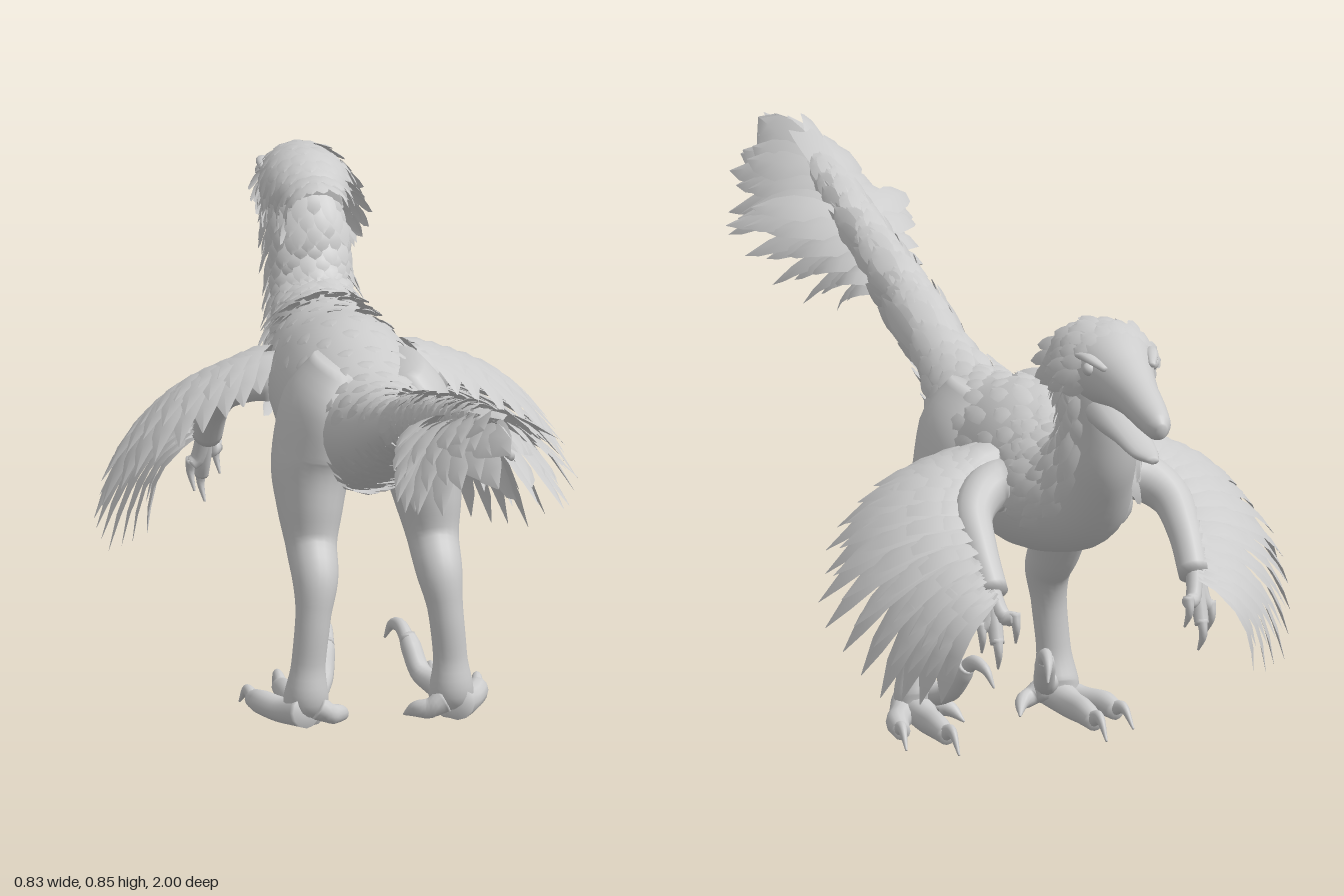
import * as THREE from 'three';
import { mergeGeometries } from 'three/addons/utils/BufferGeometryUtils.js';

const V = (x, y, z) => new THREE.Vector3(x, y, z);
const plumageGrey = new THREE.MeshStandardMaterial({ color: 0xcccccc, side: THREE.DoubleSide });
plumageGrey.name = 'plumageGrey';

// Repeatable variation for feather lengths, 0 to 1
const vary = k => Math.abs(Math.sin(k * 12.9898) * 43758.5453) % 1;

// A limb or body is a list of stations [x, y, z, halfWidth, halfDepth]
function makeSpine(stations, s = 1) {
  const path = new THREE.CatmullRomCurve3(stations.map(p => V(p[0] * s, p[1], p[2])));
  const radii = new THREE.CatmullRomCurve3(stations.map(p => V(p[3], p[4], 0)));
  return u => {
    const t = path.getTangent(u), r = radii.getPoint(u);
    const side = V(1, 0, 0).addScaledVector(t, -t.x).normalize();
    const up = side.clone().cross(t);
    const p = path.getPoint(u);
    return {
      t, p,
      at: (a, k = 1) => p.clone().addScaledVector(side, r.x * k * Math.sin(a)).addScaledVector(up, r.y * k * Math.cos(a)),
      out: a => side.clone().multiplyScalar(Math.sin(a)).addScaledVector(up, Math.cos(a)),
    };
  };
}

// Closed smooth skin around a spine
function loft(spine, rings = 40, sides = 20) {
  const pos = [], idx = [];
  for (let i = 0; i <= rings + 2; i++) {
    const f = spine(THREE.MathUtils.clamp((i - 1) / rings, 0, 1));
    const k = i === 0 || i === rings + 2 ? 0.02 : 1;
    for (let j = 0; j < sides; j++) pos.push(...f.at(j / sides * Math.PI * 2, k).toArray());
  }
  for (let i = 0; i < rings + 2; i++) for (let j = 0; j < sides; j++) {
    const a = i * sides + j, b = i * sides + (j + 1) % sides;
    idx.push(a, b, a + sides, b, b + sides, a + sides);
  }
  return surface(pos, idx);
}

function surface(pos, idx) {
  const g = new THREE.BufferGeometry();
  g.setAttribute('position', new THREE.Float32BufferAttribute(pos, 3));
  g.setIndex(idx);
  g.computeVertexNormals();
  return g;
}

// Pointed leaf-shaped feather with a raised quill, arched along its normal
const OUTLINE = [0.5, 0.85, 1, 0.97, 0.72, 0.03];
function feather(root, tip, normal, halfWidth, arch = 0) {
  const d = tip.clone().sub(root);
  const side = d.clone().cross(normal).normalize();
  const n = side.clone().cross(d).normalize();
  const pos = [], idx = [], last = OUTLINE.length - 1;
  OUTLINE.forEach((o, i) => {
    const t = i / last, w = o * halfWidth;
    const c = root.clone().addScaledVector(d, t).addScaledVector(n, arch * Math.sin(Math.PI * t));
    for (const k of [-1, 0, 1]) {
      pos.push(...c.clone().addScaledVector(side, k * w).addScaledVector(n, -Math.abs(k) * w * 0.2).toArray());
    }
    if (i < last) for (const k of [0, 1]) {
      const a = i * 3 + k;
      idx.push(a, a + 1, a + 3, a + 1, a + 4, a + 3);
    }
  });
  return surface(pos, idx);
}

// Staggered rows of feathers following a spine's skin backward
function coat(spine, u0, u1, rows, a0, a1, cols, len, width, lift, droop = 0) {
  const list = [];
  for (let i = 0; i < rows; i++) {
    const u = u0 + (u1 - u0) * i / (rows - 1), f = spine(u);
    const speed = f.p.distanceTo(spine(u + (u < .5 ? .01 : -.01)).p) / .01;
    for (let j = 0; j < cols; j++) {
      const r = vary(i * 31 + j + 1), l = len * (.8 + .4 * r);
      const a = a0 + (a1 - a0) * (j + (i % 2 ? 0.75 : 0.25)) / cols;
      const n = f.out(a), root = f.at(a, 0.98), back = u - l / speed;
      const tip = back > 0 ? spine(back).at(a) : root.clone().addScaledVector(f.t, -l);
      tip.addScaledVector(n, l * lift * (.6 + .8 * r));
      tip.y -= droop * l;
      list.push(feather(root, tip, n, width, len * 0.08));
    }
  }
  return list;
}

export function createModel() {
  const model = new THREE.Group();
  model.name = 'featheredDinosaur';
  const add = (name, geo, parent = model) => {
    const m = new THREE.Mesh(Array.isArray(geo) ? mergeGeometries(geo) : geo, plumageGrey);
    m.name = name;
    parent.add(m);
    return m;
  };

  // Tail, trunk and neck in one skin
  const body = makeSpine([
    [0, .755, .95, .006, .008], [0, .742, .7, .018, .02], [0, .695, .5, .028, .026], [0, .642, .3, .035, .036],
    [0, .582, .1, .05, .043], [0, .55, 0, .066, .06], [0, .523, -.1, .098, .088], [0, .51, -.2, .118, .118],
    [0, .512, -.35, .125, .14], [0, .518, -.48, .115, .124], [0, .542, -.588, .09, .108],
    [0, .605, -.664, .066, .085], [0, .67, -.685, .064, .085], [0, .735, -.688, .07, .084], [0, .8, -.69, .06, .07],
  ]);
  add('body', loft(body, 90, 28));
  const at = k => k / 14;

  // Head with upper and lower jaws
  const head = makeSpine([
    [0, .772, -.622, .045, .045], [0, .778, -.65, .068, .062], [0, .785, -.7, .078, .07], [0, .785, -.76, .07, .067],
    [0, .776, -.82, .05, .05], [0, .764, -.88, .037, .038], [0, .75, -.94, .03, .031],
    [0, .74, -.98, .022, .025], [0, .736, -1, .008, .012],
  ]);
  add('skull', loft(head, 40, 24));
  add('lowerJaw', loft(makeSpine([
    [0, .715, -.72, .05, .04], [0, .703, -.79, .045, .03], [0, .688, -.85, .032, .018],
    [0, .676, -.91, .024, .012], [0, .674, -.955, .01, .006],
  ]), 20, 16));
  for (const s of [1, -1]) {
    const eye = add(s > 0 ? 'leftEye' : 'rightEye', new THREE.SphereGeometry(.012, 16, 12));
    eye.position.set(s * .056, .797, -.79);
    add(s > 0 ? 'leftBrow' : 'rightBrow', loft(makeSpine([
      [.064, .812, -.75, .006, .005], [.056, .815, -.79, .011, .007], [.042, .805, -.83, .006, .005]], s), 10, 10));
  }

  // Small contour feathers
  add('headFeathers', coat(head, .02, .4, 8, -2, 2, 12, .042, .013, .4, .35));
  add('neckFeathers', coat(body, at(9.6), at(14), 15, -2.2, 2.2, 13, .045, .014, .3));
  add('backFeathers', coat(body, at(4), at(9.6), 13, -1.35, 1.35, 7, .06, .014, .14));
  add('tailFeathers', coat(body, at(1.2), at(4), 15, -2, 2, 9, .08, .018, .15));
  add('underTailFeathers', coat(body, at(2.6), at(7), 16, Math.PI - .9, Math.PI + .9, 5, .055, .022, .2));

  // Tail fan, drooping to both sides like a tent
  const fanRoot = new THREE.CatmullRomCurve3([V(0, .745, .74), V(.012, .735, .63), V(.02, .69, .47), V(.02, .64, .3)]);
  const fanTip = new THREE.CatmullRomCurve3([
    V(.012, .77, 1), V(.035, .7, .985), V(.07, .725, .955), V(.1, .65, .92), V(.13, .62, .82),
    V(.162, .655, .75), V(.14, .595, .69), V(.1, .565, .6), V(.06, .56, .51), V(.042, .58, .4)]);
  const fan = [];
  for (const s of [1, -1]) [1, .82, .64].forEach((reach, layer) => {
    for (let i = 0; i < 11; i++) {
      const t = (i + (layer % 2) * .5) / 11;
      const root = fanRoot.getPoint(t), n = V(.7, .7, .1);
      const tip = root.clone().lerp(fanTip.getPoint(t), reach * (.95 + .05 * vary(i + 3))).addScaledVector(n, layer * .022);
      root.x *= s; tip.x *= s; n.x *= s;
      fan.push(feather(root, tip, n, .034 - .012 * t, .022));
    }
  });
  fan.push(feather(V(0, .745, .7), V(0, .775, 1), V(0, 1, 0), .02, .015));
  fan.push(feather(V(0, .745, .64), V(0, .8, .88), V(0, 1, 0), .026, .015));
  fan.push(feather(V(0, .735, .72), V(0, .69, .99), V(1, 0, 0), .03));
  add('tailFan', fan);

  for (const s of [1, -1]) {
    const label = s > 0 ? 'left' : 'right';
    const limb = (name, pts, parent, rings = 16, sides = 12) => add(name, loft(makeSpine(pts, s), rings, sides), parent);

    // Leg and foot
    const leg = new THREE.Group();
    leg.name = label + 'Leg';
    model.add(leg);
    limb('thighAndShin', [
      [.05, .61, -.21, .04, .08], [.082, .54, -.21, .06, .112], [.095, .45, -.215, .065, .108],
      [.102, .37, -.19, .055, .077], [.105, .31, -.165, .043, .052], [.107, .262, -.125, .039, .042],
      [.114, .2, -.11, .03, .031], [.122, .12, -.11, .029, .028], [.125, .06, -.115, .038, .038], [.125, .03, -.13, .035, .025],
    ], leg, 44, 20);
    limb('middleToe', [[.125, .04, -.1, .035, .028], [.13, .034, -.18, .023, .024], [.132, .036, -.24, .02, .022],
      [.132, .032, -.29, .015, .016]], leg);
    limb('middleClaw', [[.132, .035, -.28, .012, .014], [.132, .045, -.315, .008, .011], [.132, .014, -.35, .002, .002]], leg);
    limb('outerToe', [[.13, .04, -.09, .03, .028], [.16, .032, -.14, .022, .022], [.185, .034, -.19, .02, .021],
      [.192, .03, -.23, .015, .016]], leg);
    limb('outerClaw', [[.192, .033, -.22, .012, .013], [.198, .04, -.25, .008, .01], [.203, .012, -.285, .002, .002]], leg);
    limb('hindToe', [[.11, .045, -.1, .022, .024], [.085, .032, -.1, .016, .018], [.065, .028, -.115, .013, .014],
      [.05, .012, -.145, .002, .002]], leg);
    limb('sickleToe', [[.11, .06, -.12, .022, .024], [.085, .075, -.17, .018, .018], [.075, .11, -.2, .018, .019],
      [.07, .13, -.215, .014, .015]], leg);
    limb('sickleClaw', [[.07, .122, -.205, .013, .014], [.064, .14, -.235, .011, .013], [.056, .135, -.27, .008, .009],
      [.048, .108, -.29, .002, .002]], leg);

    // Arm and hand
    const arm = new THREE.Group();
    arm.name = label + 'Arm';
    model.add(arm);
    limb('upperArmAndForearm', [[.065, .52, -.5, .05, .055], [.13, .52, -.5, .042, .045], [.175, .49, -.54, .035, .037],
      [.183, .44, -.6, .029, .031], [.18, .38, -.655, .026, .028]], arm, 24, 16);
    [[.205, .28, -.665], [.183, .255, -.685], [.155, .3, -.695]].forEach(([x, y, z], i) => {
      const mid = [(x + .183) / 2, (y + .39) / 2, (z - .665) / 2, .013, .014];
      limb('finger' + i, [[.183, .39, -.65, .015, .016], mid, [x, y + .045, z, .012, .012]], arm, 10, 10);
      limb('fingerClaw' + i, [[x, y + .055, z, .01, .011], [x, y + .03, z - .006, .007, .009], [x - .004, y, z + .008, .002, .002]], arm, 8, 8);
    });

    // Wing: long flight feathers under four layers of coverts
    const roots = new THREE.CatmullRomCurve3([V(.11, .53, -.5), V(.17, .515, -.53), V(.19, .46, -.61), V(.185, .38, -.665)]);
    const tips = new THREE.CatmullRomCurve3([
      V(.15, .52, -.37), V(.21, .5, -.325), V(.28, .465, -.31), V(.35, .42, -.325), V(.39, .365, -.38),
      V(.418, .305, -.45), V(.403, .245, -.53), V(.36, .2, -.6), V(.32, .19, -.645), V(.265, .205, -.685)]);
    const wing = [];
    [1, .82, .62, .42, .25].forEach((reach, layer) => {
      const count = 16 - layer;
      for (let i = 0; i < count; i++) {
        const t = (i + .5 * (layer % 2)) / (count - .5);
        const root = roots.getPoint(t), n = V(.35, .93, .1).lerp(V(.8, .5, -.3), t).normalize();
        const tip = root.clone().lerp(tips.getPoint(t), reach * (.96 + .05 * vary(i + layer * 9)))
          .addScaledVector(n, [0, .034, .05, .053, .042][layer]);
        root.x *= s; tip.x *= s; n.x *= s;
        wing.push(feather(root, tip, n, .034 - layer * .002, (.052 - .018 * t) * reach));
      }
    });
    add('wingFeathers', wing, arm);
  }
  return model;
}
